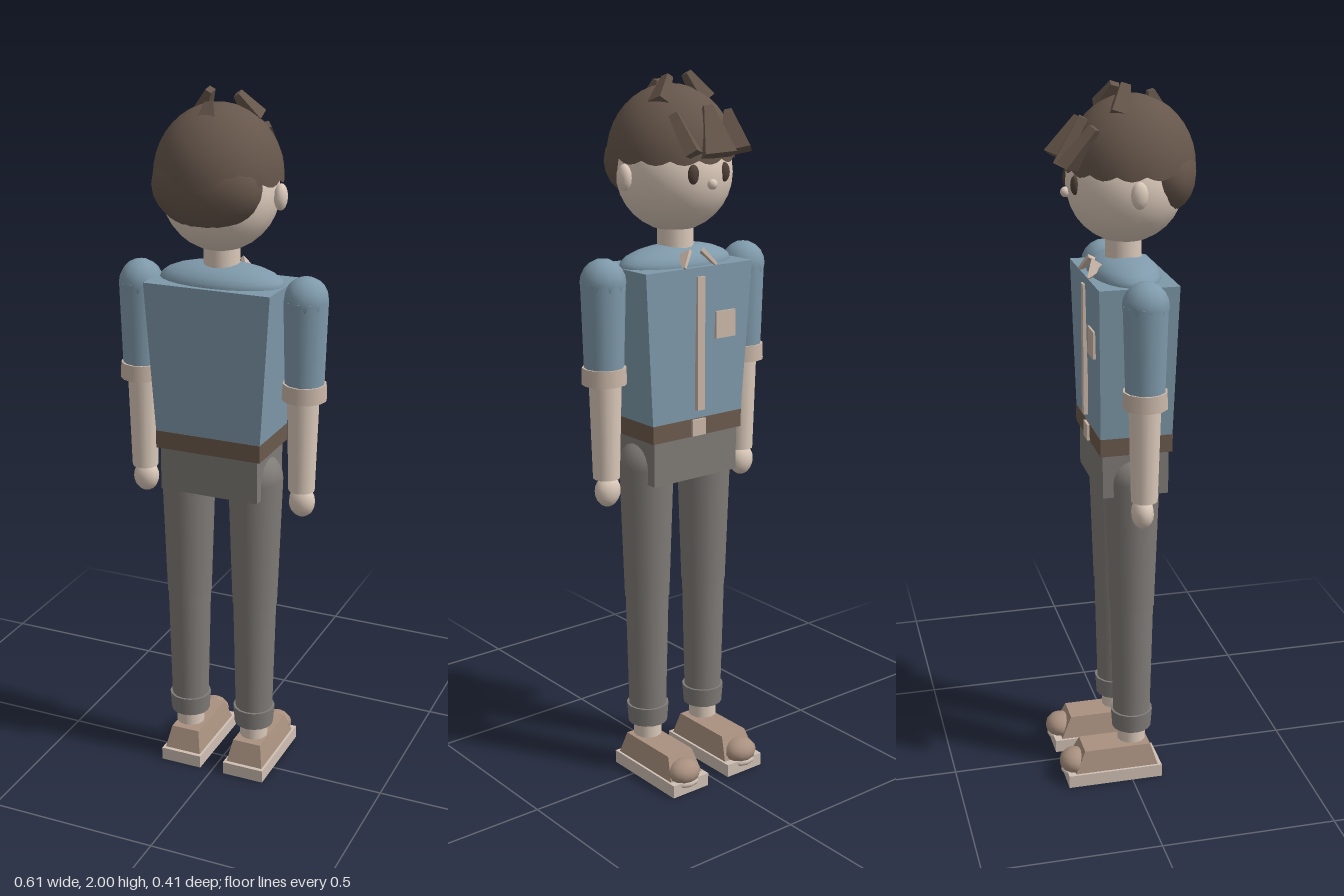
import * as THREE from 'three';

const mat = (name, color, double) => {
  const m = new THREE.MeshStandardMaterial({ color });
  m.name = name;
  if (double) m.side = THREE.DoubleSide;
  return m;
};

export function createModel() {
  const root = new THREE.Group();
  root.name = 'standingFigure';
  const hair = mat('hair brown', 0x66564b, true);
  const skin = mat('skin', 0xdccabb);
  const shirt = mat('shirt blue', 0x7f9aab);
  const trousers = mat('trouser grey', 0x7f7b77);
  const belt = mat('belt brown', 0x6b5a4d);
  const trim = mat('pale trim', 0xcab7a8);
  const shoe = mat('shoe tan', 0xaa9180);
  const sole = mat('sole', 0xd0c0b4);
  const dark = mat('eye brown', 0x4f4037);

  const Z = 0.01; // body axis
  const add = (name, geo, material, x = 0, y = 0, z = 0) => {
    const m = new THREE.Mesh(geo, material);
    m.name = name;
    m.position.set(x, y, z);
    root.add(m);
    return m;
  };
  const ball = (rx, ry, rz, ws = 14, hs = 10) => new THREE.SphereGeometry(1, ws, hs).scale(rx, ry, rz);
  // Upright round section between two heights
  const tube = (name, material, x, z, y0, y1, r0, r1, seg = 14) =>
    add(name, new THREE.CylinderGeometry(r1, r0, y1 - y0, seg), material, x, (y0 + y1) / 2, z);
  // Box whose top has its own width, depth and z shift
  const taperBox = (w, h, d, tw = w, td = d, shift = 0) => {
    const g = new THREE.BoxGeometry(w, h, d);
    const p = g.attributes.position;
    for (let i = 0; i < p.count; i++) {
      if (p.getY(i) > 0) {
        p.setX(i, p.getX(i) * tw / w);
        p.setZ(i, p.getZ(i) * td / d + shift);
      }
    }
    g.computeVertexNormals();
    return g;
  };
  // Four-sided lock running from a to b
  const lock = (name, material, a, b, w0, d0, w1, d1) => {
    const va = new THREE.Vector3(...a), vb = new THREE.Vector3(...b);
    const dir = vb.clone().sub(va);
    const m = add(name, taperBox(w0, dir.length(), d0, w1, d1), material);
    m.position.copy(va).add(vb).multiplyScalar(0.5);
    m.quaternion.setFromUnitVectors(new THREE.Vector3(0, 1, 0), dir.normalize());
    return m;
  };

  // Head and face
  add('head', ball(0.157, 0.16, 0.16, 24, 16), skin, 0, 1.735, 0.015);
  tube('neck', skin, 0, Z, 1.5, 1.61, 0.05, 0.05);
  add('nose', ball(0.014, 0.014, 0.014, 10, 8), skin, 0, 1.715, -0.147);
  for (const s of [-1, 1]) {
    add('ear', ball(0.018, 0.036, 0.023, 10, 8), skin, s * 0.168, 1.73, 0.012);
    add('eye', ball(0.017, 0.026, 0.012, 10, 8), dark, s * 0.052, 1.742, -0.132);
  }

  // Hair cap with a scalloped hem
  const cap = new THREE.SphereGeometry(1, 56, 10, 0, Math.PI * 2, 0, Math.PI / 2).scale(0.172, 0.188, 0.172);
  const cp = cap.attributes.position;
  for (let i = 0; i < cp.count; i++) {
    if (cp.getY(i) < 0.001) {
      const a = Math.atan2(cp.getZ(i), cp.getX(i));
      cp.setY(i, -0.012 * Math.abs(Math.sin(a * 7)));
    }
  }
  add('hairCap', cap, hair, 0, 1.777, 0.03);
  add('hairBack', ball(0.152, 0.115, 0.093, 20, 12), hair, 0, 1.762, 0.108);

  // Fringe locks flare towards the brow
  lock('fringe', hair, [-0.1, 1.895, -0.09], [-0.075, 1.795, -0.15], 0.02, 0.025, 0.085, 0.035);
  lock('fringe', hair, [-0.018, 1.91, -0.1], [-0.01, 1.79, -0.16], 0.025, 0.025, 0.09, 0.04);
  lock('fringe', hair, [0.085, 1.895, -0.09], [0.062, 1.795, -0.15], 0.02, 0.025, 0.085, 0.035);

  // Crown tufts
  lock('tuft', hair, [-0.075, 1.92, -0.02], [-0.034, 1.992, 0.006], 0.045, 0.05, 0.018, 0.026);
  lock('tuft', hair, [0.082, 1.92, -0.03], [0.038, 1.985, -0.004], 0.045, 0.05, 0.018, 0.026);
  lock('tuft', hair, [0, 1.925, 0.095], [0, 1.972, 0.082], 0.055, 0.045, 0.024, 0.018);

  // Torso
  add('torso', taperBox(0.31, 0.42, 0.2, 0.366, 0.218), shirt, 0, 1.28, Z);
  add('shoulderYoke', ball(0.18, 0.055, 0.095, 24, 12), shirt, 0, 1.488, Z);
  add('placket', new THREE.BoxGeometry(0.025, 0.37, 0.012), trim, 0, 1.28, -0.099);
  const pocket = add('pocket', new THREE.BoxGeometry(0.068, 0.075, 0.009), trim, -0.088, 1.325, -0.098);
  pocket.rotation.x = 0.02;
  add('belt', new THREE.BoxGeometry(0.31, 0.05, 0.202), belt, 0, 1.045, Z);
  add('buckle', new THREE.BoxGeometry(0.046, 0.046, 0.009), trim, 0, 1.045, -0.094);
  add('hips', new THREE.BoxGeometry(0.29, 0.13, 0.185), trousers, 0, 0.96, Z);

  for (const s of [-1, 1]) {
    // Collar point
    lock('collar', trim, [s * 0.03, 1.525, -0.065], [s * 0.055, 1.492, -0.1], 0.045, 0.012, 0.006, 0.008);

    // Arm
    const ax = s * 0.243;
    add('shoulder', ball(0.062, 0.064, 0.062, 10, 10), shirt, ax, 1.461, Z);
    tube('sleeve', shirt, ax, Z, 1.22, 1.462, 0.054, 0.061, 12);
    tube('sleeveCuff', trim, ax, Z, 1.186, 1.232, 0.062, 0.06, 12);
    tube('forearm', skin, s * 0.24, Z, 0.92, 1.2, 0.037, 0.045, 12);
    add('hand', ball(0.038, 0.045, 0.031, 12, 10), skin, s * 0.24, 0.884, 0.005);

    // Leg
    const lx = s * 0.103;
    add('legTop', ball(0.077, 0.077, 0.077, 16, 12), trousers, lx, 0.935, Z);
    tube('thigh', trousers, lx, Z, 0.545, 0.935, 0.064, 0.077, 16);
    tube('shin', trousers, lx, Z, 0.2, 0.55, 0.054, 0.062, 16);
    tube('trouserCuff', trousers, lx, Z, 0.155, 0.21, 0.057, 0.061, 16);
    tube('ankle', skin, lx, Z, 0.112, 0.16, 0.041, 0.041, 12);

    // Shoe
    add('sole', new THREE.BoxGeometry(0.126, 0.038, 0.278), sole, s * 0.1, 0.019, -0.05);
    add('shoeUpper', taperBox(0.112, 0.065, 0.245, 0.086, 0.195, 0.005), shoe, s * 0.1, 0.07, -0.045);
    add('toeCap', ball(0.05, 0.036, 0.045, 12, 8), shoe, s * 0.105, 0.056, -0.161);
    add('toeRim', ball(0.046, 0.018, 0.04, 12, 8), sole, s * 0.105, 0.03, -0.162);
  }
  return root;
}
